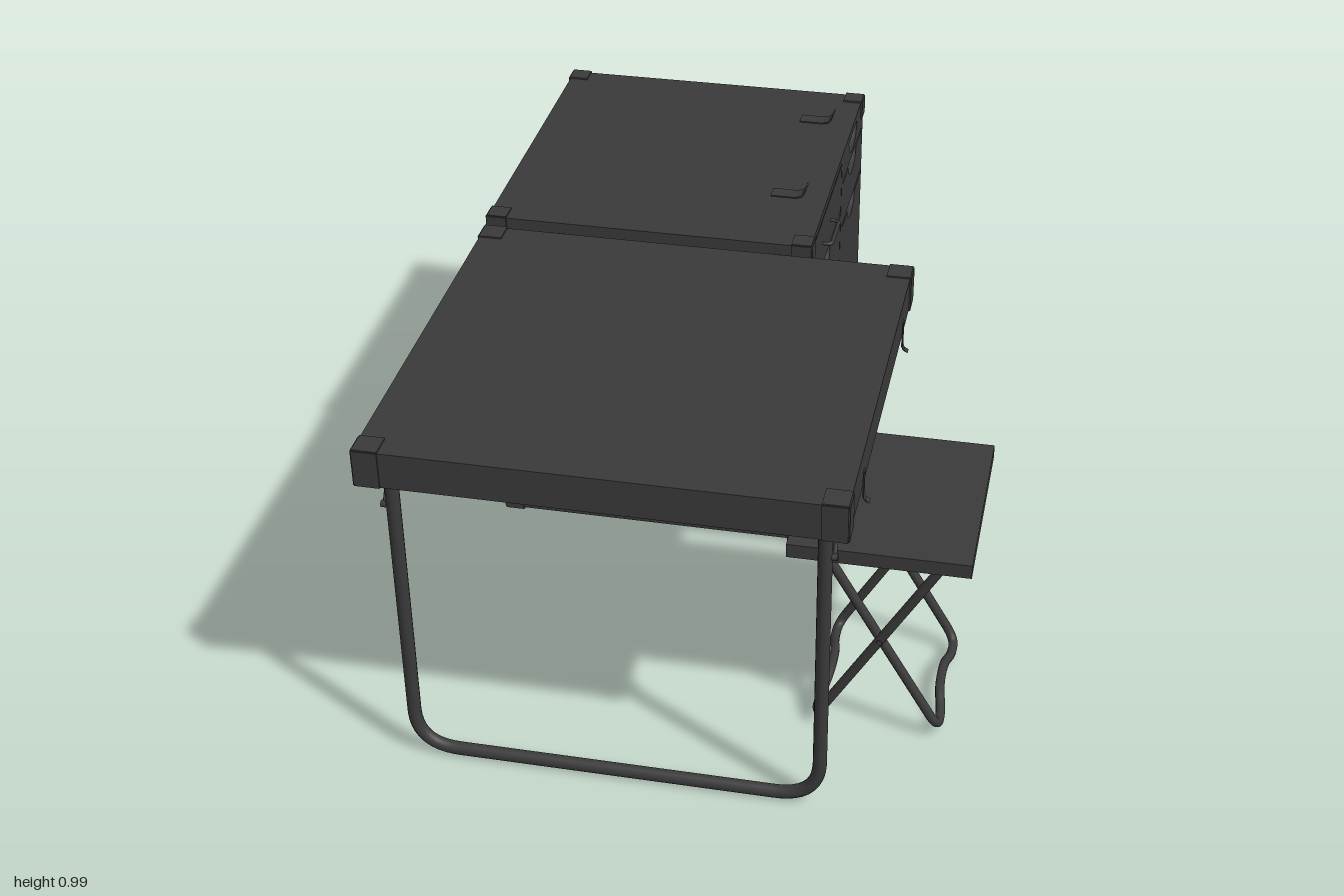
import * as THREE from 'three';

const mat = new THREE.MeshStandardMaterial({ color: 0x3a3a3a });
const V = (x, y, z) => new THREE.Vector3(x, y, z);

function add(parent, geo, name) {
  const m = new THREE.Mesh(geo, mat);
  m.name = name;
  parent.add(m);
  return m;
}

// box given by its min and max on each axis
function box(parent, name, x0, x1, y0, y1, z0, z1) {
  const m = add(parent, new THREE.BoxGeometry(x1 - x0, y1 - y0, z1 - z0), name);
  m.position.set((x0 + x1) / 2, (y0 + y1) / 2, (z0 + z1) / 2);
  return m;
}

// tube along a polyline whose corners are rounded by r
function tube(parent, name, pts, r, radius, closed = false, segs = 120, sides = 10) {
  const path = new THREE.CurvePath();
  const n = pts.length;
  const toward = (a, b) => a.clone().add(b.clone().sub(a).setLength(Math.min(r, a.distanceTo(b) * 0.48)));
  let prev = closed ? null : pts[0];
  let first = null;
  for (let i = closed ? 0 : 1; i < (closed ? n : n - 1); i++) {
    const p = pts[i];
    const a = toward(p, pts[(i + n - 1) % n]);
    const b = toward(p, pts[(i + 1) % n]);
    if (prev) path.add(new THREE.LineCurve3(prev, a));
    else first = a;
    path.add(new THREE.QuadraticBezierCurve3(a, p, b));
    prev = b;
  }
  path.add(new THREE.LineCurve3(prev, closed ? first : pts[n - 1]));
  return add(parent, new THREE.TubeGeometry(path, segs, radius, sides, closed), name);
}

// flat outline in (-z, y), extruded along +x from x0
function sidePanel(parent, name, shape, x0, depth) {
  const geo = new THREE.ExtrudeGeometry(shape, { depth, bevelEnabled: false, curveSegments: 16 });
  const m = add(parent, geo.rotateY(Math.PI / 2), name);
  m.position.x = x0;
  return m;
}

function rect(Type, u0, u1, y0, y1) {
  const s = new Type();
  s.moveTo(u0, y0); s.lineTo(u1, y0); s.lineTo(u1, y1); s.lineTo(u0, y1); s.closePath();
  return s;
}

// outline with a curved finger pull sagging from its top edge
function pullOutline(Type, u0, u1, y0, y1, uc, yPull, sag = 0.045) {
  const s = new Type();
  s.moveTo(u0, y0); s.lineTo(u1, y0); s.lineTo(u1, y1);
  s.lineTo(uc + 0.07, y1);
  s.quadraticCurveTo(uc + 0.055, yPull - sag, uc, yPull - sag);
  s.quadraticCurveTo(uc - 0.055, yPull - sag, uc - 0.07, y1);
  s.lineTo(u0, y1); s.closePath();
  return s;
}

// narrow slot with the finger pull hanging below it
function pullSlot(u0, u1, y, uc) {
  const s = new THREE.Path();
  s.moveTo(u0, y); s.lineTo(uc - 0.07, y);
  s.quadraticCurveTo(uc - 0.055, y - 0.045, uc, y - 0.045);
  s.quadraticCurveTo(uc + 0.055, y - 0.045, uc + 0.07, y);
  s.lineTo(u1, y); s.lineTo(u1, y + 0.009); s.lineTo(u0, y + 0.009); s.closePath();
  return s;
}

// bent sheet strip, profile in (x, y), width along z
function strip(parent, name, pts, width, z) {
  const t = 0.003;
  const s = new THREE.Shape([
    ...pts.map(([x, y]) => new THREE.Vector2(x, y)),
    ...pts.slice().reverse().map(([x, y]) => new THREE.Vector2(x - t, y + t)),
  ]);
  const m = add(parent, new THREE.ExtrudeGeometry(s, { depth: width, bevelEnabled: false }), name);
  m.position.z = z - width / 2;
}

// three thin plates wrapped round one corner; sx, sy, sz point outward
function cornerGuard(parent, x, y, z, sx, sy, sz, size, tall) {
  const g = new THREE.Group();
  g.name = 'cornerGuard';
  const t = 0.006;
  box(g, 'topPlate', 0, size, -t / 2, t / 2, 0, size);
  box(g, 'sidePlate', -t / 2, t / 2, 0, tall, 0, size);
  box(g, 'endPlate', 0, size, 0, tall, -t / 2, t / 2);
  for (const m of g.children) m.position.multiply(V(-sx, -sy, -sz));
  g.position.set(x, y, z);
  parent.add(g);
}

function cabinet() {
  const g = new THREE.Group();
  g.name = 'cabinet';
  box(g, 'cabinetBody', -0.69, 0.148, 0.022, 0.955, -0.995, -0.09);

  // face frame: an opening for the left column, pull slots for the right one
  const frame = rect(THREE.Shape, 0.09, 0.995, 0.022, 0.955);
  frame.holes.push(rect(THREE.Path, 0.105, 0.607, 0.05, 0.935));
  for (const y of [0.855, 0.715, 0.393]) frame.holes.push(pullSlot(0.635, 0.982, y, 0.805));
  frame.holes.push(pullSlot(0.734, 0.876, 0.925, 0.805));
  frame.holes.push(rect(THREE.Path, 0.635, 0.982, 0.05, 0.058));
  sidePanel(g, 'faceFrame', frame, 0.148, 0.02);

  // left column of drawers
  const a = 0.108, b = 0.603;
  sidePanel(g, 'upperDrawer', rect(THREE.Shape, a, b, 0.79, 0.931), 0.148, 0.02);
  sidePanel(g, 'middleDrawer', pullOutline(THREE.Shape, a, b, 0.396, 0.775, 0.355, 0.775), 0.148, 0.02);
  sidePanel(g, 'lowerDrawer', pullOutline(THREE.Shape, a, b, 0.056, 0.387, 0.355, 0.387), 0.148, 0.02);
  tube(g, 'drawerHandle', [V(0.165, 0.857, -0.29), V(0.192, 0.857, -0.29), V(0.192, 0.857, -0.42),
    V(0.165, 0.857, -0.42)], 0.015, 0.005, false, 40, 8);

  for (const sx of [-1, 1]) for (const sy of [-1, 1]) for (const sz of [-1, 1])
    cornerGuard(g, sx < 0 ? -0.692 : 0.17, sy < 0 ? 0.02 : 0.957, sz < 0 ? -0.997 : -0.088, sx, sy, sz, 0.052, 0.052);

  // spring clips on the top
  for (const z of [-0.36, -0.81])
    strip(g, 'topClip', [[0.02, 0.957], [0.085, 0.957], [0.1, 0.961], [0.108, 0.969], [0.113, 0.983]], 0.042, z);

  // carrying handle
  const plate = box(g, 'handlePlate', -0.3, -0.132, 0.52, 0.597, -0.092, -0.07);
  plate.name = 'handlePlate';
  const rod = add(g, new THREE.CylinderGeometry(0.012, 0.012, 0.168, 16).rotateZ(Math.PI / 2), 'handleBarrel');
  rod.position.set(-0.216, 0.555, -0.07);
  tube(g, 'carryHandle', [V(-0.29, 0.56, -0.068), V(-0.34, 0.477, -0.046), V(-0.094, 0.477, -0.046),
    V(-0.144, 0.56, -0.068)], 0.025, 0.005, true, 80, 8);

  // latches
  for (const y of [0.645, 0.195]) {
    box(g, 'latchPlate', 0.015, 0.085, y - 0.02, y + 0.02, -0.092, -0.08);
    tube(g, 'latchLoop', [V(-0.008, y - 0.027, -0.076), V(0.085, y - 0.027, -0.076),
      V(0.085, y + 0.027, -0.076), V(-0.008, y + 0.027, -0.076)], 0.014, 0.005, true, 60, 8);
    box(g, 'latchLever', 0.04, 0.125, y - 0.014, y + 0.014, -0.078, -0.064);
  }

  // hinge plates joining cabinet and table
  for (const x of [-0.51, 0.08]) for (const [y0, y1] of [[0.765, 0.8], [0.825, 0.845], [0.87, 0.925]])
    box(g, 'hingePlate', x - 0.029, x + 0.029, y0, y1, -0.092, y0 > 0.86 ? -0.065 : -0.076);
  return g;
}

function table() {
  const g = new THREE.Group();
  g.name = 'table';
  const x0 = -0.69, x1 = 0.435, z0 = -0.067, z1 = 0.99;
  // hollow top: a sheet with a rim
  box(g, 'tableTop', x0, x1, 0.92, 0.938, z0, z1);
  const rim = rect(THREE.Shape, x0, x1, -z1, -z0);
  rim.holes.push(rect(THREE.Path, x0 + 0.015, x1 - 0.015, -z1 + 0.015, -z0 - 0.015));
  const r = add(g, new THREE.ExtrudeGeometry(rim, { depth: 0.076, bevelEnabled: false }).rotateX(-Math.PI / 2), 'tableRim');
  r.position.y = 0.845;
  for (const sx of [-1, 1]) for (const sz of [-1, 1])
    cornerGuard(g, sx < 0 ? x0 - 0.001 : x1 + 0.001, 0.939, sz < 0 ? z0 - 0.001 : z1 + 0.001, sx, 1, sz, 0.06, 0.094);

  // hooks on the right rim
  for (const z of [0.14, 0.79])
    strip(g, 'rimHook', [[0.455, 0.818], [0.445, 0.823], [0.441, 0.832], [0.441, 0.9]], 0.02, z);

  // folding leg frame
  const zl = 0.915, xa = -0.633, xb = 0.375;
  tube(g, 'legFrame', [V(xa, 0.92, zl), V(xa, 0.018, zl), V(xb, 0.018, zl), V(xb, 0.92, zl)], 0.11, 0.017, false, 160, 12);
  for (const [x, s] of [[xa, -1], [xb, 1]]) {
    tube(g, 'legBrace', [V(x + s * 0.021, 0.745, zl), V(x + s * 0.021, 0.8, 0.88), V(x + s * 0.021, 0.88, 0.83)],
      0.01, 0.005, false, 12, 6);
    const bolt = add(g, new THREE.CylinderGeometry(0.009, 0.009, 0.03, 10).rotateZ(Math.PI / 2), 'braceBolt');
    bolt.position.set(x + s * 0.014, 0.745, zl);
  }
  return g;
}

function stool() {
  const g = new THREE.Group();
  g.name = 'stool';
  const xc = 0.473, zc = 0.45;
  box(g, 'seat', 0.25, 0.69, 0.568, 0.605, 0.2, 0.706);
  // two crossed loops with a raised foot bar
  for (const [s, h] of [[1, 0.187], [-1, 0.178]]) {
    const at = (y, z) => V(xc + s * 0.155 * ((y - 0.295) / 0.265), y, zc + z);
    tube(g, 'crossedLegs', [at(0.56, -h), at(0.56, h), at(0.032, h), at(0.032, 0.11), at(0.055, 0.05),
      at(0.055, -0.05), at(0.032, -0.11), at(0.032, -h)], 0.045, 0.012, true, 180, 10);
  }
  for (const z of [-0.182, 0.182]) {
    const pin = add(g, new THREE.CylinderGeometry(0.008, 0.008, 0.036, 10).rotateX(Math.PI / 2), 'pivotPin');
    pin.position.set(xc, 0.295, zc + z);
  }
  return g;
}

export function createModel() {
  const group = new THREE.Group();
  group.name = 'campDeskWithStool';
  group.add(cabinet(), table(), stool());
  return group;
}
